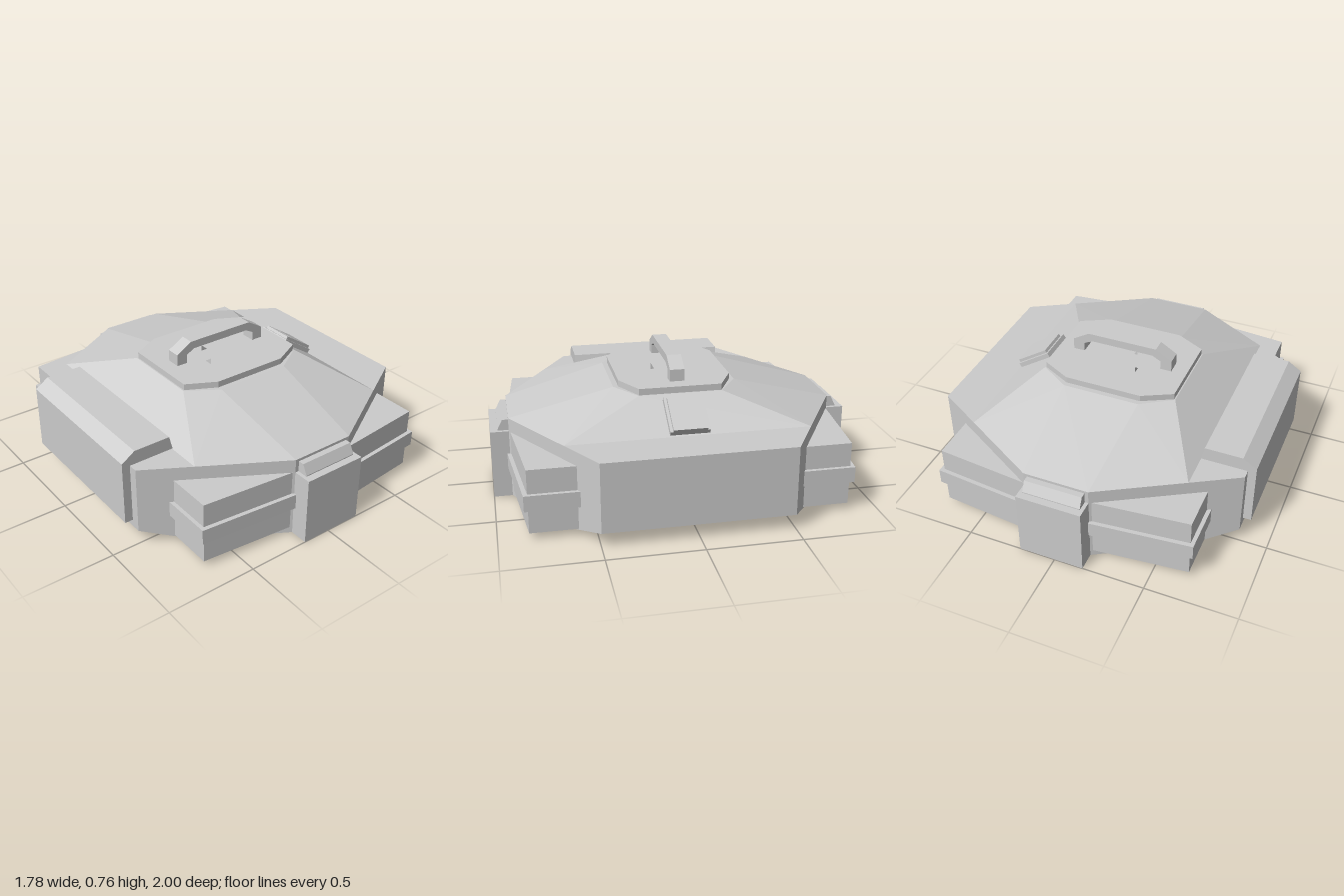
import * as THREE from 'three';
import { ConvexGeometry } from 'three/addons/geometries/ConvexGeometry.js';

const material = new THREE.MeshStandardMaterial({ color: 0xcccccc, flatShading: true });

const toShape = (pts) => new THREE.Shape(pts.map(([x, y]) => new THREE.Vector2(x, y)));

// Extrude a side profile (x, y) along z, centred
function profile(pts, depth, z = 0) {
  const g = new THREE.ExtrudeGeometry(toShape(pts), { depth, bevelEnabled: false });
  return g.translate(0, 0, z - depth / 2);
}

// Extrude a plan outline (x, z) from y0 up to y1
function plan(pts, y0, y1, holes = []) {
  const flip = (p) => p.map(([x, z]) => [x, -z]);
  const shape = toShape(flip(pts));
  for (const h of holes) shape.holes.push(toShape(flip(h)));
  const g = new THREE.ExtrudeGeometry(shape, { depth: y1 - y0, bevelEnabled: false });
  return g.rotateX(-Math.PI / 2).translate(0, y0, 0);
}

// Stretched octagon: long side at x = a (half length b), short side at z = d (half length c)
const octagon = (a, b, c, d) => [[a, b], [c, d], [-c, d], [-a, b], [-a, -b], [-c, -d], [c, -d], [a, -b]];

// Solid through a stack of [outline, height] levels
const hull = (levels) => new ConvexGeometry(
  levels.flatMap(([pts, y]) => pts.map(([x, z]) => new THREE.Vector3(x, y, z))));

export function createModel() {
  const root = new THREE.Group();
  root.name = 'equipmentCase';
  const shell = new THREE.Group();
  shell.position.x = 0.02;
  root.add(shell);

  const add = (name, geometry, parent = shell) => {
    const mesh = new THREE.Mesh(geometry, material);
    mesh.name = name;
    parent.add(mesh);
    return mesh;
  };

  // Main body with chamfered lower sides, then the sloping roof
  const inner = octagon(0.615, 0.646, 0.18, 0.9);
  const outer = octagon(0.865, 0.5, 0.18, 0.9);
  add('body', hull([[inner, 0], [outer, 0.08], [outer, 0.455]]));
  add('roof', hull([[inner, 0.455], [octagon(0.385, 0.225, 0.215, 0.335), 0.605]]));

  // Top plate with an H-shaped recess
  const recess = [
    [-0.19, 0.08], [-0.095, 0.08], [-0.095, -0.08], [-0.19, -0.08], [-0.19, -0.2], [0.19, -0.2],
    [0.19, -0.08], [-0.045, -0.08], [-0.045, 0.08], [0.19, 0.08], [0.19, 0.2], [-0.19, 0.2],
  ];
  add('topPlate', plan(octagon(0.378, 0.222, 0.215, 0.307), 0.6, 0.64, [recess]));

  // Carrying handle
  const arch = [[0.292, 0.635], [0.292, 0.705], [0.2, 0.76]];
  const archInner = [[0.18, 0.715], [0.228, 0.69], [0.228, 0.635]];
  const mirrored = (pts) => pts.map(([x, y]) => [-x, y]).reverse();
  add('handle', profile([...arch, ...mirrored(arch), ...mirrored(archInner), ...archInner], 0.08));

  // Side compartment overlapping the body's right edge
  add('sideCompartment', profile([
    [-0.91, 0.12], [-0.91, 0.48], [-0.835, 0.53], [-0.63, 0.53], [-0.61, 0.45], [-0.84, 0.45], [-0.84, 0.12],
  ], 0.9));

  // Slotted switch panel lying on the left roof slope
  const panel = new THREE.Group();
  panel.name = 'switchPanel';
  panel.position.set(0.515, 0.522, 0);
  panel.rotation.z = -Math.atan2(0.15, 0.23);
  shell.add(panel);
  const rect = (x0, x1, z) => [[x0, -z], [x1, -z], [x1, z], [x0, z]];
  add('panelBase', plan(rect(-0.115, 0.11, 0.105), -0.015, 0.025), panel);
  add('panelCover', plan(rect(-0.1, 0.11, 0.09), 0.02, 0.042, [rect(-0.065, -0.035, 0.07)]), panel);

  for (const sz of [1, -1]) {
    const end = sz > 0 ? 'front' : 'back';

    // Central clasp block with a bevelled ridge on top
    add(end + 'Clasp', plan(rect(-0.18, 0.18, 0.06).map(([x, z]) => [x, sz * 0.94 + z]), 0, 0.38));
    const ridge = (z, y) => [-0.16, 0.16].map((x) => new THREE.Vector3(x, y, sz * z));
    add(end + 'ClaspRidge', new ConvexGeometry(
      [...ridge(0.88, 0.37), ...ridge(0.96, 0.37), ...ridge(0.96, 0.385), ...ridge(0.932, 0.44), ...ridge(0.88, 0.44)]));

    // Corner pouches, each wrapped by a strap
    for (const sx of [1, -1]) {
      const side = sx > 0 ? 'Left' : 'Right';
      const place = (pts) => pts.map(([x, z]) => [x * sx, z * sz]);
      add(end + side + 'Pouch', plan(place(
        [[0.15, 0.85], [0.15, 0.897], [0.705, 0.842], [0.705, 0.585], [0.55, 0.6]]), 0.035, 0.38));
      add(end + side + 'Strap', plan(place(
        [[0.15, 0.85], [0.15, 0.918], [0.726, 0.863], [0.726, 0.575], [0.55, 0.6]]), 0.165, 0.25));
    }
  }
  return root;
}
